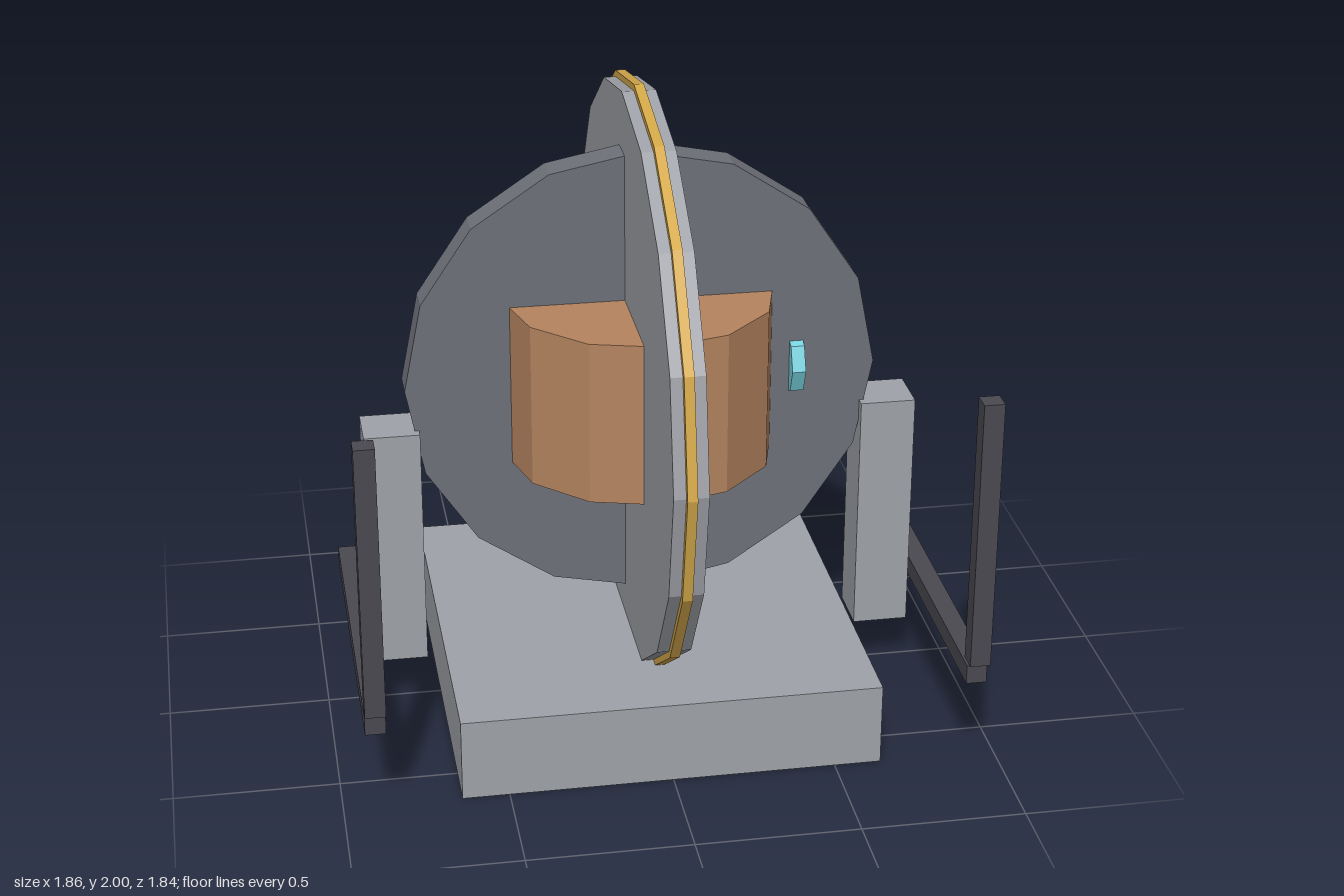
import * as THREE from 'three';

const COLORS = {
  steel: 0x9fa2a8, darkSteel: 0x6e7079, iron: 0x4a4950,
  copper: 0xb5845f, gold: 0xd4a84a, cyan: 0x78d0dc,
};

export function createModel() {
  const model = new THREE.Group();
  model.name = 'gyroscopeMachine';

  const mats = {};
  for (const key in COLORS) {
    mats[key] = new THREE.MeshStandardMaterial({ color: COLORS[key], flatShading: true });
  }

  const add = (name, geometry, mat, x, y, z) => {
    const mesh = new THREE.Mesh(geometry, mats[mat]);
    mesh.name = name;
    mesh.position.set(x, y, z);
    model.add(mesh);
    return mesh;
  };

  // Box given by its [min, max] range on each axis
  const box = (name, mat, [x0, x1], [y0, y1], [z0, z1]) =>
    add(name, new THREE.BoxGeometry(x1 - x0, y1 - y0, z1 - z0), mat,
      (x0 + x1) / 2, (y0 + y1) / 2, (z0 + z1) / 2);

  // Faceted disc whose axis lies along x, y or z
  const disc = (name, mat, radius, thickness, sides, axis, x, y) => {
    const geometry = new THREE.CylinderGeometry(radius, radius, thickness, sides);
    if (axis === 'x') geometry.rotateZ(Math.PI / 2);
    if (axis === 'z') geometry.rotateX(Math.PI / 2);
    return add(name, geometry, mat, x, y, 0);
  };

  const hubY = 1.08;

  // Base slab
  box('base', 'steel', [-0.643, 0.643], [0, 0.26], [-0.643, 0.643]);

  // Large wheel with a raised gold rim band
  disc('mainWheel', 'steel', 0.9, 0.103, 16, 'x', 0, hubY);
  disc('goldRim', 'gold', 0.92, 0.03, 16, 'x', 0, hubY);

  // Crossing wheel and central core
  disc('crossWheel', 'darkSteel', 0.727, 0.103, 16, 'z', 0, hubY);
  disc('copperCore', 'copper', 0.417, 0.515, 12, 'y', 0, 1.077);

  // Small indicator let into one side of the cross wheel
  disc('indicator', 'cyan', 0.105, 0.042, 8, 'x', 0.482, hubY);

  // Bearing columns and L-shaped side rails, mirrored
  for (const s of [1, -1]) {
    const side = s > 0 ? 'left' : 'right';
    const span = (a, b) => (s > 0 ? [a, b] : [-b, -a]);
    box(side + 'Column', 'steel', span(0.687, 0.859), [0.175, 0.948], [-0.083, 0.083]);
    box(side + 'Rail', 'iron', span(0.87, 0.932), [0.315, 0.376], [-0.322, 0.752]);
    box(side + 'Post', 'iron', span(0.87, 0.932), [0.39, 1.248], [0.721, 0.784]);
  }

  return model;
}
